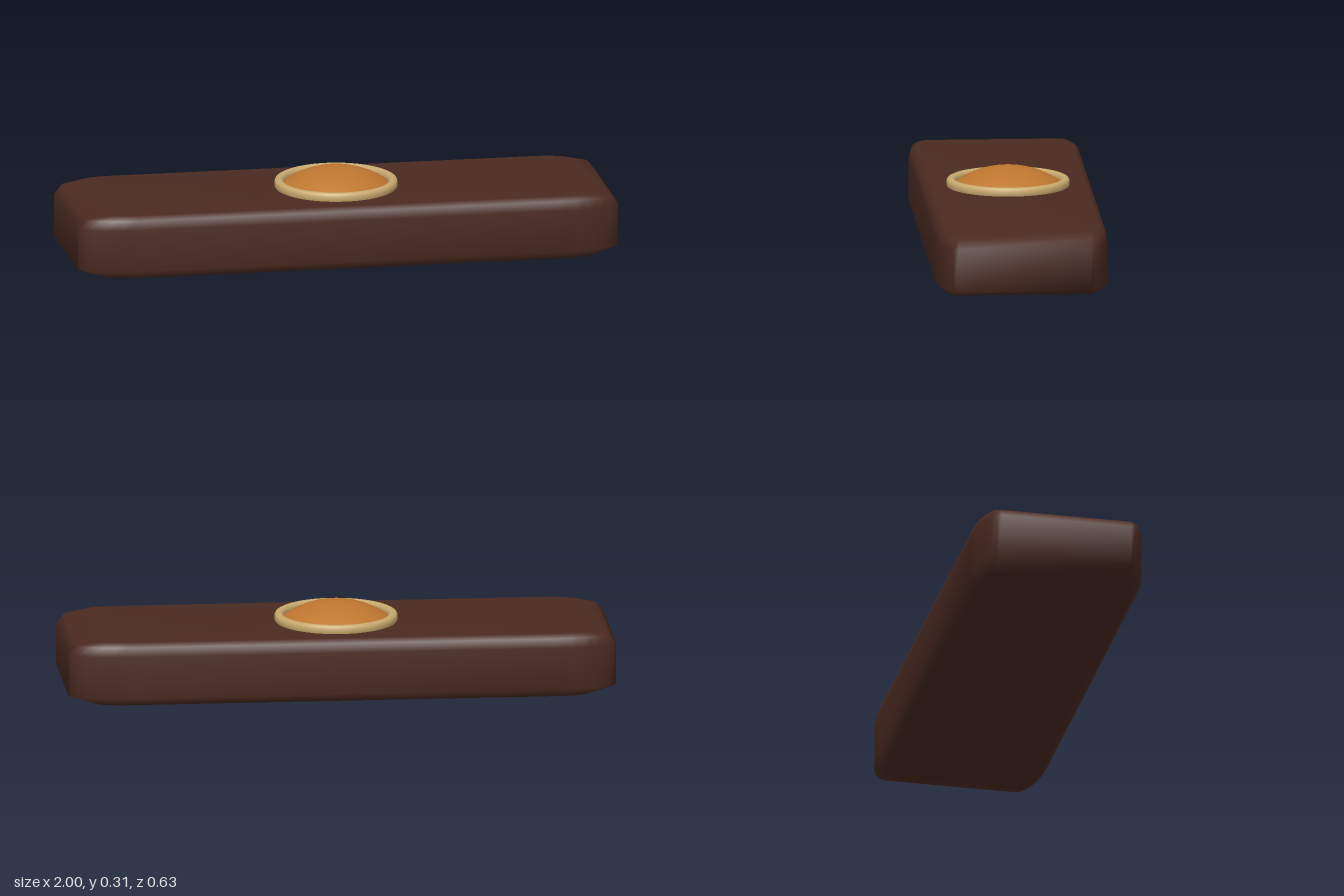
import * as THREE from 'three';

const mat = (name, color) => {
  const m = new THREE.MeshStandardMaterial({ color });
  m.name = name;
  return m;
};

// Plan outline with elliptical corners; flats end at x = 0.78, z = 0.24
const CX = 0.78, CZ = 0.24, STEPS = 6;
function outline(hx, hz) {
  const pts = [];
  for (let q = 0; q < 4; q++) {
    const sx = q === 0 || q === 3 ? 1 : -1;
    const sz = q < 2 ? 1 : -1;
    for (let i = 0; i <= STEPS; i++) {
      const a = (q + i / STEPS) * Math.PI / 2;
      pts.push([sx * CX + (hx - CX) * Math.cos(a), sz * CZ + (hz - CZ) * Math.sin(a)]);
    }
  }
  return pts;
}

// Body lofted upward through outlines, closed by a centre fan at each end
function loftBody(levels) {
  const pos = [], idx = [];
  const n = 4 * (STEPS + 1);
  for (const [y, hx, hz] of levels) {
    for (const [x, z] of outline(hx, hz)) pos.push(x, y, z);
  }
  const top = (levels.length - 1) * n;
  const bottomCentre = pos.length / 3, topCentre = bottomCentre + 1;
  pos.push(0, levels[0][0], 0, 0, levels[levels.length - 1][0], 0);
  for (let j = 0; j < n; j++) {
    const k = (j + 1) % n;
    for (let l = 0; l < levels.length - 1; l++) {
      const a = l * n + j, b = l * n + k;
      idx.push(a, a + n, b, b, a + n, b + n);
    }
    idx.push(bottomCentre, j, k, topCentre, top + k, top + j);
  }
  const g = new THREE.BufferGeometry();
  g.setAttribute('position', new THREE.Float32BufferAttribute(pos, 3));
  g.setIndex(idx);
  g.computeVertexNormals();
  return g;
}

const lathe = (pts) => new THREE.LatheGeometry(pts.map(([r, y]) => new THREE.Vector2(r, y)), 64);

export function createModel() {
  const group = new THREE.Group();
  const add = (name, geometry, material) => {
    const mesh = new THREE.Mesh(geometry, material);
    mesh.name = name;
    group.add(mesh);
  };

  // Bar with chamfered base and softened top edge: [y, half length, half depth]
  add('body', loftBody([
    [0, 0.9, 0.281], [0.032, 1, 0.313], [0.187, 1, 0.313],
    [0.22, 0.972, 0.304], [0.235, 0.9, 0.282],
  ]), mat('dark brown', 0x4a2a20));

  // Raised rim around the dome
  add('bezel', lathe([
    [0.221, 0.232], [0.2245, 0.24], [0.2245, 0.252], [0.221, 0.261], [0.213, 0.265],
    [0.203, 0.265], [0.195, 0.261], [0.19, 0.252], [0.19, 0.236],
  ]), mat('pale brass', 0xc8a96e));

  // Shallow spherical cap
  const R = 0.337, cap = [];
  for (let i = 0; i <= 14; i++) {
    const r = 0.194 * (1 - i / 14);
    cap.push([r, 0.307 - R + Math.sqrt(R * R - r * r)]);
  }
  add('dome', lathe(cap), mat('amber', 0xbf7630));

  return group;
}
